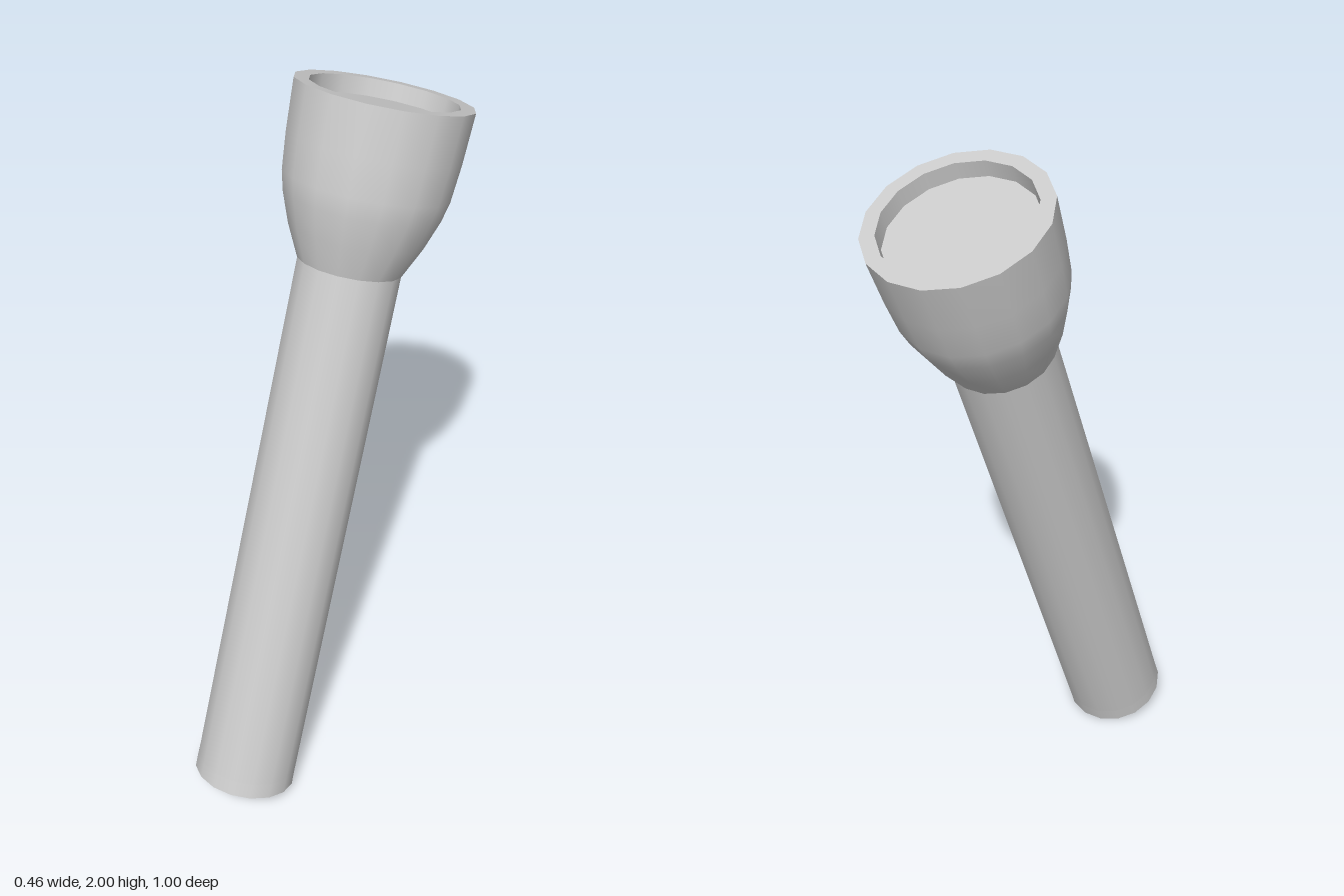
import * as THREE from 'three';

const SIDES = 16;
const material = new THREE.MeshStandardMaterial({ color: 0xcccccc });

// One smooth surface of revolution; separate pieces keep their shared edges sharp.
function turned(name, profile) {
  const points = profile.map(([r, y]) => new THREE.Vector2(r, y));
  const mesh = new THREE.Mesh(new THREE.LatheGeometry(points, SIDES), material);
  mesh.name = name;
  return mesh;
}

export function createModel() {
  const torch = new THREE.Group();
  torch.name = 'flashlight';

  // Handle: slightly tapered tube with a shallow hollow in its tail
  const handle = new THREE.Group();
  handle.name = 'handle';
  handle.add(
    turned('tailFloor', [[0, 0.02], [0.138, 0.02]]),
    turned('tailHollowWall', [[0.138, 0.02], [0.138, 0]]),
    turned('tailRim', [[0.138, 0], [0.144, 0]]),
    turned('tailBand', [[0.144, 0], [0.143, 0.045]]),
    turned('tube', [[0.143, 0.045], [0.137, 1.54]])
  );

  // Head: flared bell, flat rim and recessed lens
  const head = new THREE.Group();
  head.name = 'head';
  head.add(
    turned('bell', [[0.137, 1.54], [0.177, 1.625], [0.205, 1.703], [0.217, 1.755],
      [0.225, 1.853], [0.23, 1.982]]),
    turned('rim', [[0.23, 1.982], [0.192, 1.982]]),
    turned('rimInnerWall', [[0.192, 1.982], [0.19, 1.937]]),
    turned('lens', [[0.19, 1.937], [0, 1.937]])
  );

  torch.add(handle, head);

  // Lean the whole torch back from its tail
  const tail = new THREE.Vector3(0.025, 0.052, 0.365);
  const tip = new THREE.Vector3(0, 1.925, -0.283);
  torch.position.copy(tail);
  torch.quaternion.setFromUnitVectors(
    new THREE.Vector3(0, 1, 0), tip.sub(tail).normalize());

  const model = new THREE.Group();
  model.add(torch);
  return model;
}
